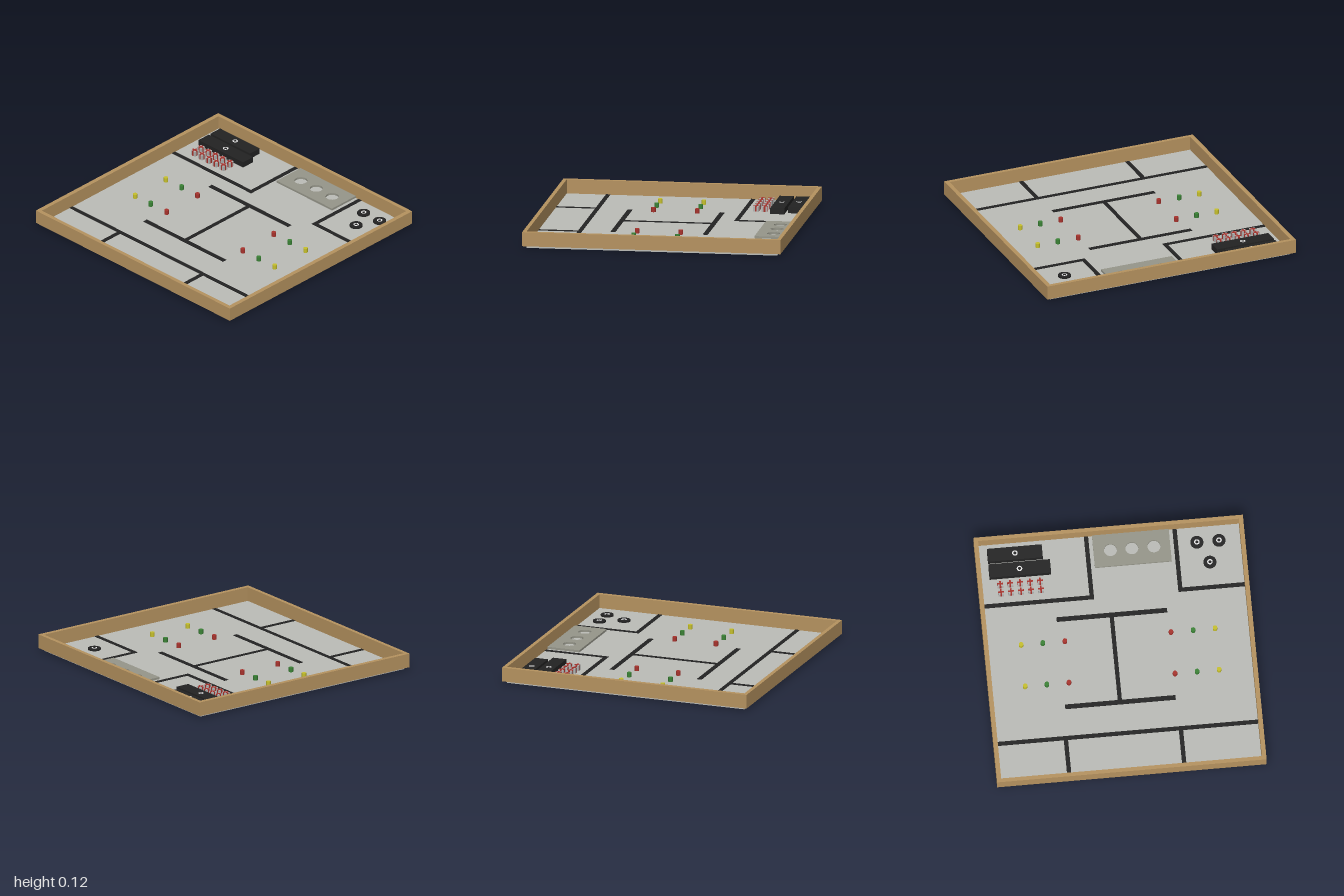
import * as THREE from 'three';

const material = (name, color) => {
  const m = new THREE.MeshStandardMaterial({ color });
  m.name = name;
  return m;
};

export function createModel() {
  const wood = material('wood', 0xb5925f);
  const floorGrey = material('floor grey', 0xbbbcb7);
  const black = material('black', 0x222222);
  const panelGrey = material('panel grey', 0x96968a);
  const red = material('red', 0xa8322c);
  const green = material('green', 0x3a8235);
  const yellow = material('yellow', 0xc6c02c);
  const pale = material('pale grey', 0xb4b4b2);
  const white = material('white', 0xe6e6e6);

  const model = new THREE.Group();
  model.name = 'arenaTable';
  const FLOOR = 0.018;

  const add = (name, geometry, mat, x, y, z, parent = model) => {
    const mesh = new THREE.Mesh(geometry, mat);
    mesh.name = name;
    mesh.position.set(x, y, z);
    parent.add(mesh);
    return mesh;
  };
  // Box given by its plan rectangle, base and height
  const slab = (name, mat, x0, x1, z0, z1, y, h) =>
    add(name, new THREE.BoxGeometry(x1 - x0, h, z1 - z0), mat, (x0 + x1) / 2, y + h / 2, (z0 + z1) / 2);
  const rectangle = (C, w, d) => new C([
    new THREE.Vector2(-w, -d), new THREE.Vector2(w, -d), new THREE.Vector2(w, d), new THREE.Vector2(-w, d),
  ]);
  // Shape laid flat and extruded upwards
  const flatExtrude = (shape, depth, curveSegments = 32) =>
    new THREE.ExtrudeGeometry(shape, { depth, bevelEnabled: false, curveSegments }).rotateX(-Math.PI / 2);

  // Floor board and the wooden border around it
  slab('floor', floorGrey, -0.938, 0.938, -0.968, 0.968, 0, FLOOR);
  const border = rectangle(THREE.Shape, 0.966, 1);
  border.holes.push(rectangle(THREE.Path, 0.937, 0.967));
  add('borderWall', flatExtrude(border, 0.106), wood, 0, FLOOR, 0);

  // Black floor lines: x0, x1, z0, z1
  [
    [-0.643, -0.611, -0.967, 0.967],
    [-0.937, -0.643, -0.476, -0.444],
    [-0.937, -0.643, 0.378, 0.41],
    [0.442, 0.474, -0.967, -0.151],
    [0.474, 0.937, -0.183, -0.151],
    [0.442, 0.474, 0.474, 0.967],
    [0.474, 0.937, 0.474, 0.506],
    [-0.4, -0.364, -0.442, 0.378],
    [0.289, 0.325, -0.442, 0.378],
    [-0.364, 0.289, -0.05, -0.019],
  ].forEach(([x0, x1, z0, z1]) => slab('floorLine', black, x0, x1, z0, z1, FLOOR, 0.003));

  // Two columns of coloured pegs at each end
  const pegGeometry = new THREE.CylinderGeometry(0.017, 0.017, 0.034, 20);
  [[-0.722, yellow], [-0.561, green], [-0.397, red], [0.39, red], [0.554, green], [0.717, yellow]]
    .forEach(([z, mat]) => [-0.2, 0.127].forEach((x) => add('peg', pegGeometry, mat, x, FLOOR + 0.017, z)));

  // Side panel with three round holes
  const panel = rectangle(THREE.Shape, 0.126, 0.285);
  [-0.164, 0, 0.159].forEach((v) => {
    const hole = new THREE.Path();
    hole.absarc(0, v, 0.048, 0, Math.PI * 2, true);
    panel.holes.push(hole);
  });
  add('holePanel', flatExtrude(panel, 0.016), panelGrey, 0.811, FLOOR, 0.162);

  // Plain pale ring used as a painted mark
  const ringGeometry = new THREE.RingGeometry(0.011, 0.021, 24).rotateX(-Math.PI / 2);

  // Long black blocks
  slab('longBlock', black, 0.664, 0.77, -0.907, -0.45, FLOOR, 0.045);
  slab('longBlock', black, 0.79, 0.892, -0.907, -0.5, FLOOR, 0.045);
  add('blockMark', ringGeometry, white, 0.717, FLOOR + 0.046, -0.68);
  add('blockMark', ringGeometry, white, 0.841, FLOOR + 0.046, -0.703);

  // Round black pads in the corner
  const padGeometry = new THREE.CylinderGeometry(0.048, 0.048, 0.012, 32);
  [[0.653, 0.727], [0.817, 0.645], [0.817, 0.809]].forEach(([x, z]) => {
    add('roundPad', padGeometry, black, x, FLOOR + 0.006, z);
    add('padMark', ringGeometry, white, x, FLOOR + 0.013, z);
  });

  // Small cubes wrapped with crossed red bands
  const cubeGeometry = new THREE.BoxGeometry(0.042, 0.04, 0.042);
  const bandGeometry = new THREE.BoxGeometry(0.012, 0.042, 0.044);
  for (let row = 0; row < 5; row++) {
    [0.547, 0.612].forEach((x) => {
      const cube = new THREE.Group();
      cube.name = 'bandedCube';
      cube.position.set(x, FLOOR, -0.833 + row * 0.074);
      add('cube', cubeGeometry, pale, 0, 0.02, 0, cube);
      add('band', bandGeometry, red, 0, 0.021, 0, cube);
      add('crossBand', bandGeometry, red, 0, 0.021, 0, cube).rotation.y = Math.PI / 2;
      model.add(cube);
    });
  }
  return model;
}
